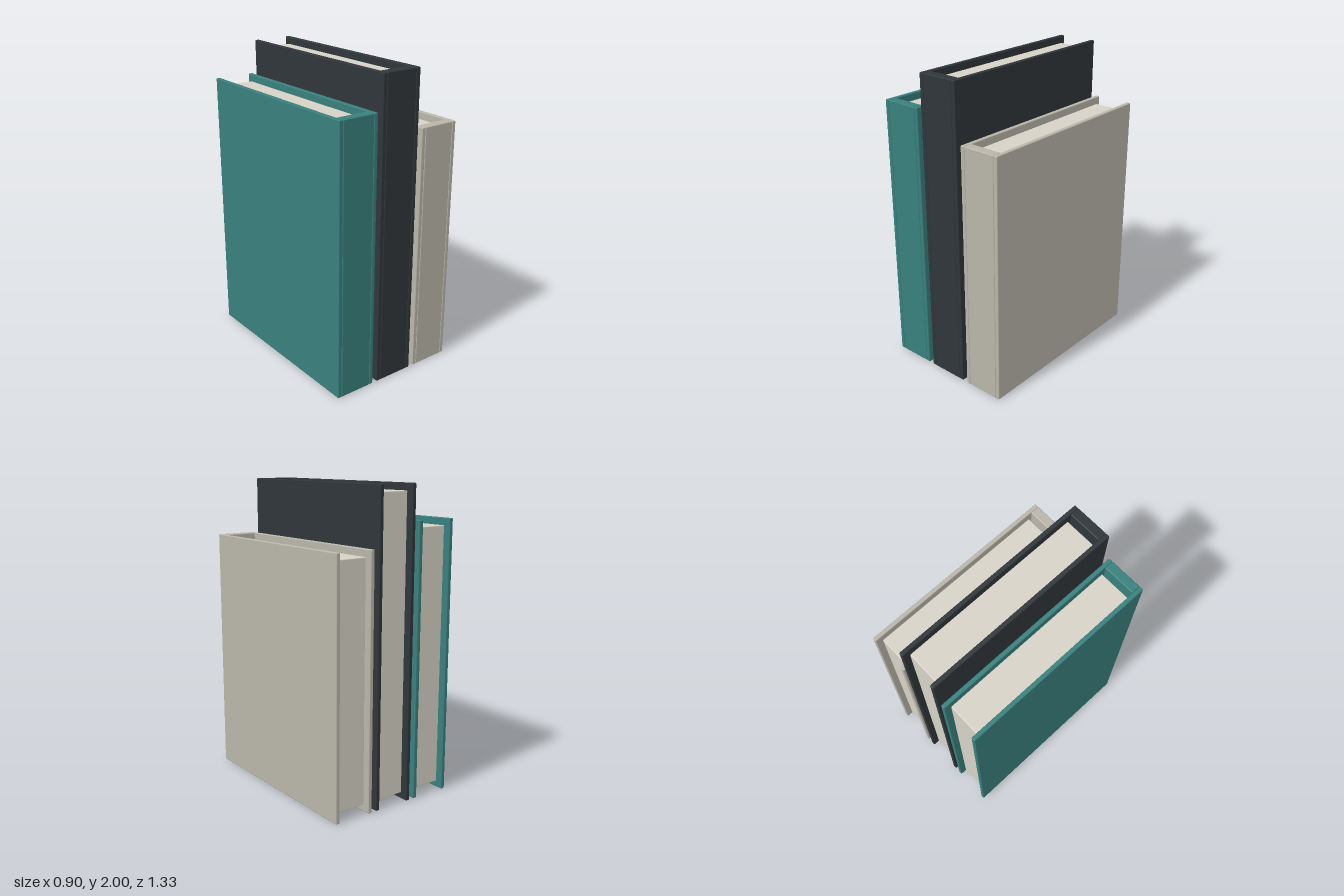
import * as THREE from 'three';
import { RoundedBoxGeometry } from 'three/addons/geometries/RoundedBoxGeometry.js';

const DEPTH = 1.326;      // cover board depth
const WIDTH = 0.278;      // full book thickness
const BOARD = 0.028;      // cover board thickness
const INSET = 0.045;      // page block set back from top and bottom

function block(name, w, h, d, material, x, y, z) {
  const mesh = new THREE.Mesh(new RoundedBoxGeometry(w, h, d, 2, 0.006), material);
  mesh.name = name;
  mesh.position.set(x, y, z);
  return mesh;
}

function createBook(name, height, cover, paper) {
  const book = new THREE.Group();
  book.name = name;
  const mid = height / 2;

  // Two cover boards
  for (const side of [-1, 1]) {
    book.add(block(side < 0 ? 'rightCover' : 'leftCover', BOARD, height, DEPTH, cover,
      side * (WIDTH - BOARD) / 2, mid, 0));
  }

  // Spine between the boards at the front
  book.add(block('spine', WIDTH - 2 * BOARD, height, 0.063, cover, 0, mid, 0.6315));

  // Page block, open to the back, with a gap behind the spine
  book.add(block('pages', 0.214, height - 2 * INSET, 1.198, paper, 0, mid, -0.022));
  return book;
}

export function createModel() {
  const model = new THREE.Group();
  model.name = 'books';
  const paper = new THREE.MeshStandardMaterial({ color: 0xd6d2c6 });

  // Three upright books in a row
  const books = [
    ['tealBook', -0.312, 1.78, 0x38807d],
    ['darkBook', 0, 2, 0x30363a],
    ['linenBook', 0.312, 1.63, 0xb9b5a9],
  ];
  for (const [name, x, height, color] of books) {
    const book = createBook(name, height, new THREE.MeshStandardMaterial({ color }), paper);
    book.position.x = x;
    model.add(book);
  }
  return model;
}
